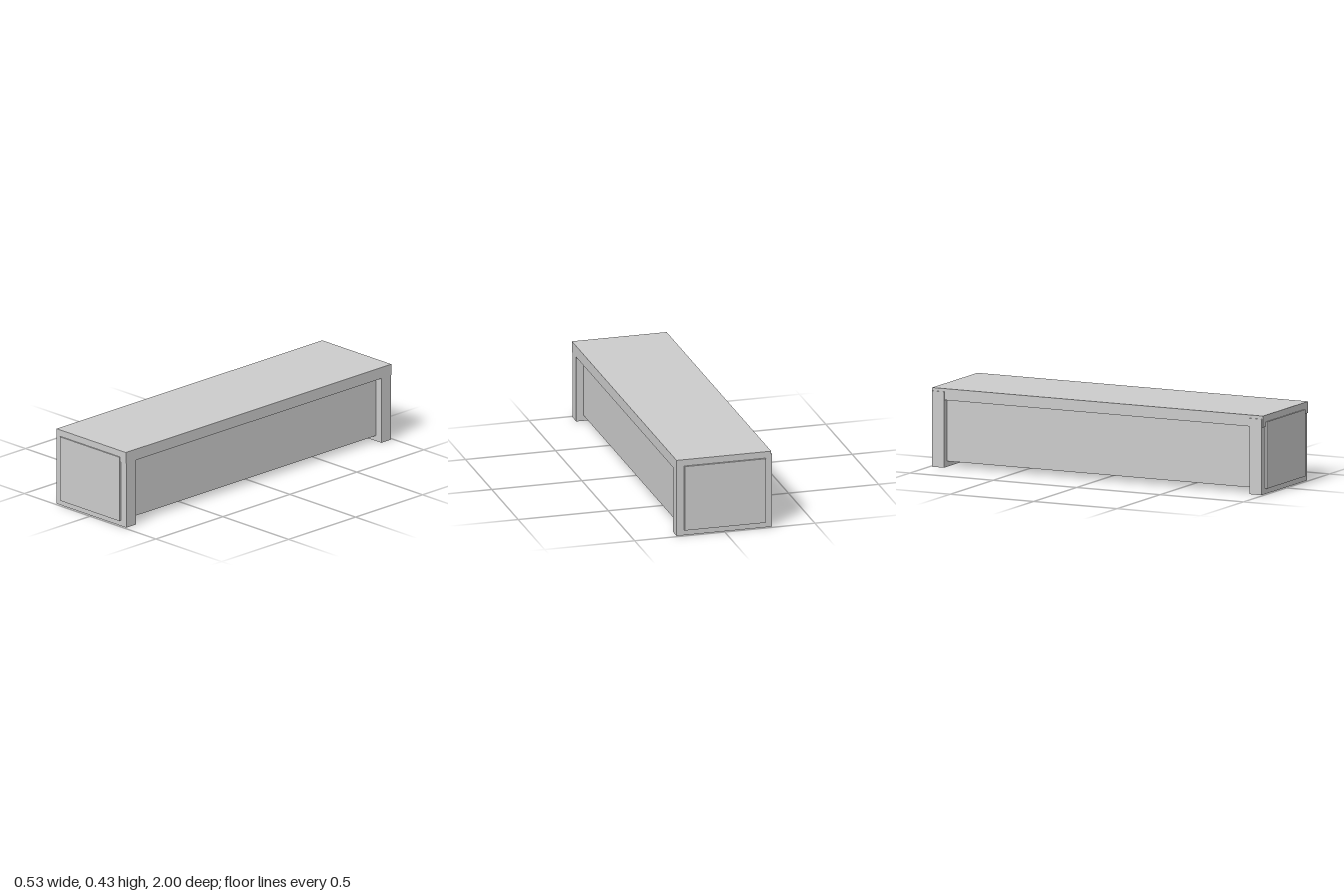
import * as THREE from 'three';

const material = new THREE.MeshStandardMaterial({ color: 0xcccccc, flatShading: true });

// Box given by its [min, max] range on each axis
function block(name, [x0, x1], [y0, y1], [z0, z1]) {
  const geometry = new THREE.BoxGeometry(x1 - x0, y1 - y0, z1 - z0);
  const mesh = new THREE.Mesh(geometry, material);
  mesh.position.set((x0 + x1) / 2, (y0 + y1) / 2, (z0 + z1) / 2);
  mesh.name = name;
  return mesh;
}

export function createModel() {
  const group = new THREE.Group();
  group.name = 'bench';

  // Long body, raised off the ground and showing through both ends
  group.add(block('body', [-0.229, 0.222], [0.03, 0.391], [-1, 1]));

  // Slab seat covering the full length
  group.add(block('seat', [-0.261, 0.2645], [0.365, 0.427], [-0.989, 0.993]));

  // Full-width end supports, standing slightly proud on the right side
  group.add(block('frontSupport', [-0.266, 0.263], [0, 0.41], [0.916, 0.988]));
  group.add(block('backSupport', [-0.266, 0.264], [0, 0.41], [-0.9885, -0.916]));

  return group;
}
